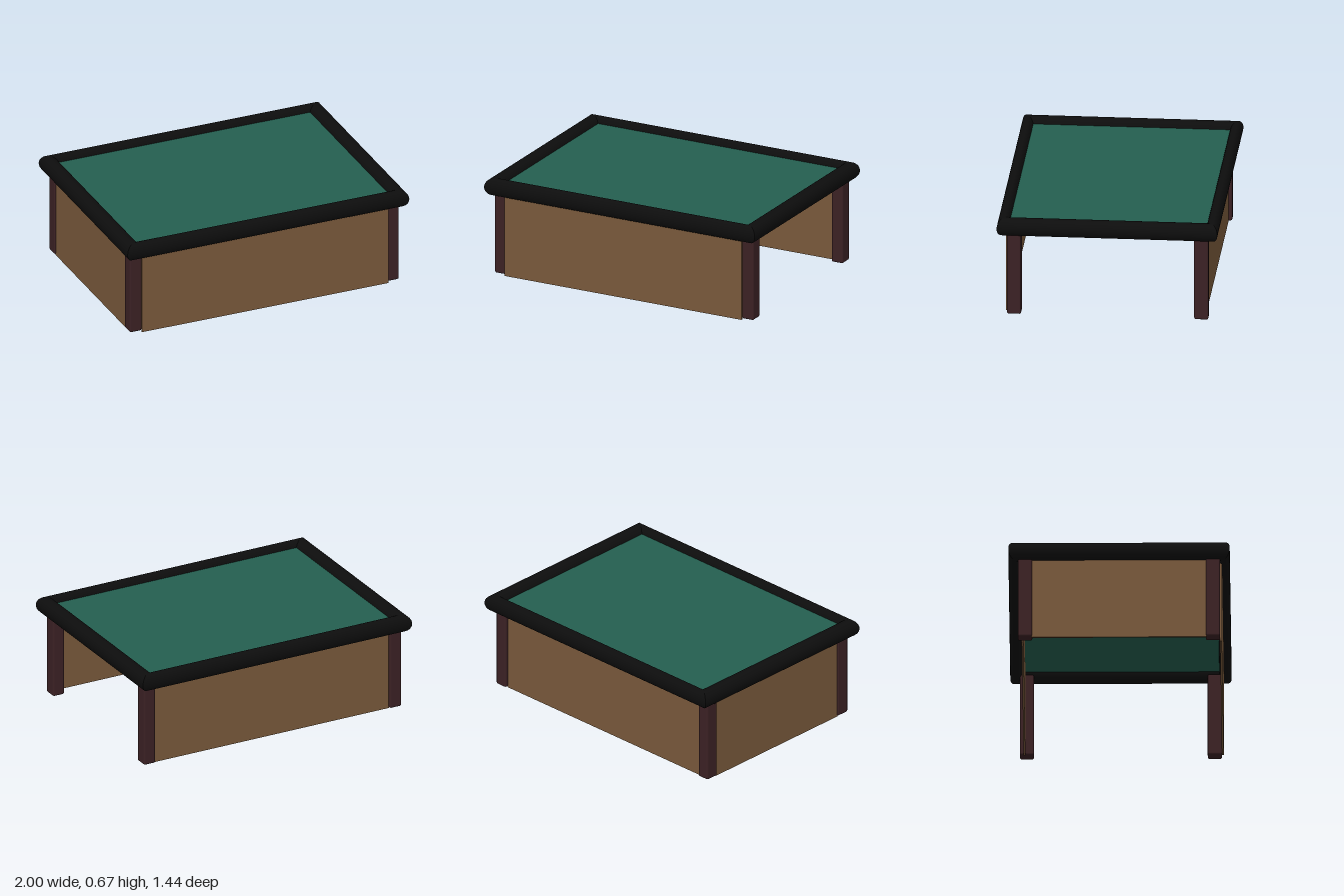
import * as THREE from 'three';
import { RoundedBoxGeometry } from 'three/addons/geometries/RoundedBoxGeometry.js';

const mat = (name, color) => {
  const m = new THREE.MeshStandardMaterial({ color });
  m.name = name;
  return m;
};

// Mitred rectangular rail with an elliptical cross-section
function railGeometry(cx, cy, cz, rx, ry, rz, steps) {
  const pos = [], idx = [], nor = [];
  const corners = [[1, 1], [1, -1], [-1, -1], [-1, 1]];
  for (let side = 0; side < 4; side++) {
    const ends = [corners[side], corners[(side + 1) % 4]];
    const alongZ = side % 2 === 0;
    const base = pos.length / 3;
    for (let i = 0; i <= steps; i++) {
      const a = (i / steps) * Math.PI * 2, c = Math.cos(a), s = Math.sin(a);
      const n = alongZ
        ? new THREE.Vector3(ends[0][0] * c / rx, s / ry, 0)
        : new THREE.Vector3(0, s / ry, ends[0][1] * c / rz);
      n.normalize();
      for (const [sx, sz] of ends) {
        pos.push(sx * (cx + rx * c), cy + ry * s, sz * (cz + rz * c));
        nor.push(n.x, n.y, n.z);
      }
    }
    for (let i = 0; i < steps; i++) {
      const p = base + i * 2;
      idx.push(p, p + 1, p + 2, p + 1, p + 3, p + 2);
    }
  }
  const g = new THREE.BufferGeometry();
  g.setAttribute('position', new THREE.Float32BufferAttribute(pos, 3));
  g.setAttribute('normal', new THREE.Float32BufferAttribute(nor, 3));
  g.setIndex(idx);
  return g;
}

export function createModel() {
  const model = new THREE.Group();
  model.name = 'table';
  const black = mat('black rail', 0x0d0d0d);
  const green = mat('green felt', 0x245f50);
  const brown = mat('brown wood', 0x79593b);
  const dark = mat('dark wood', 0x3b2124);

  const add = (name, geometry, material, x = 0, y = 0, z = 0) => {
    const mesh = new THREE.Mesh(geometry, material);
    mesh.name = name;
    mesh.position.set(x, y, z);
    model.add(mesh);
    return mesh;
  };

  // Rounded rail and playing surface
  add('rail', railGeometry(0.945, 0.61, 0.68, 0.055, 0.06, 0.04, 32), black);
  add('tableTop', new THREE.BoxGeometry(1.81, 0.025, 1.3), green, 0, 0.617, 0);

  // Four legs with eased edges
  for (const [sx, xName] of [[1, 'Left'], [-1, 'Right']])
    for (const [sz, zName] of [[1, 'front'], [-1, 'back']])
      add(zName + xName + 'Leg', new RoundedBoxGeometry(0.085, 0.575, 0.093, 2, 0.012),
        dark, sx * 0.914, 0.2925, sz * 0.611);

  // Side panels; the +x end stays open
  add('frontPanel', new THREE.BoxGeometry(1.75, 0.57, 0.013), brown, 0, 0.285, 0.663);
  add('backPanel', new THREE.BoxGeometry(1.75, 0.57, 0.013), brown, 0, 0.285, -0.627);
  add('endPanel', new THREE.BoxGeometry(0.013, 0.57, 1.14), brown, -0.94, 0.285, 0);

  return model;
}
